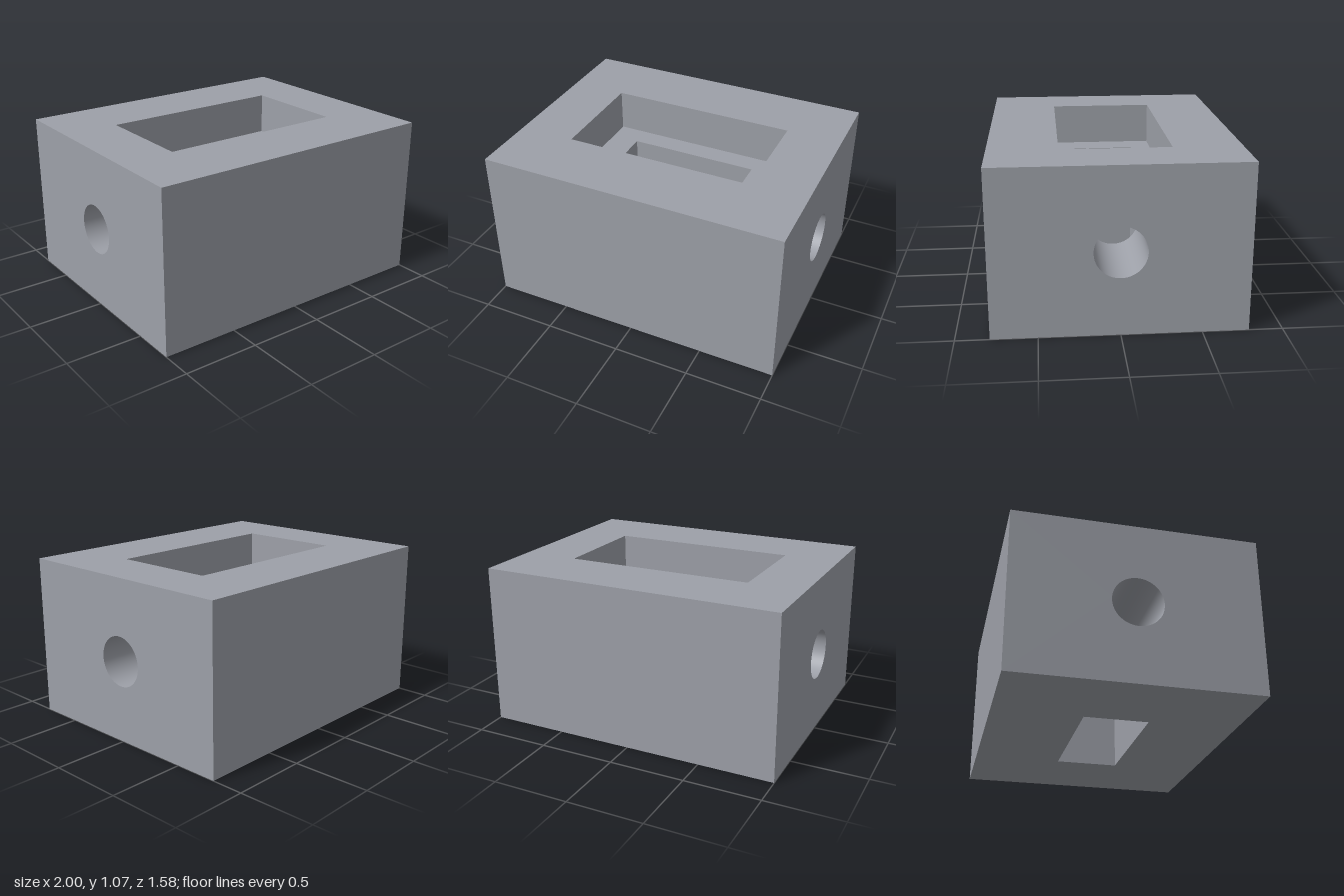
import * as THREE from 'three';

const W = 2, D = 1.58, H = 1.07;           // block
const PW = 1.255, PD = 0.70, LEDGE = 0.79; // upper pocket and its floor height
const SW = 0.88, SD = 0.42;                // through slot
const R = 0.163, BORE_Y = 0.535;           // cross bore
const STEEL = 0x9da0a8;

function rect(path, w, h) {
  path.moveTo(-w / 2, -h / 2).lineTo(w / 2, -h / 2).lineTo(w / 2, h / 2).lineTo(-w / 2, h / 2).closePath();
  return path;
}

export function createModel() {
  const group = new THREE.Group();
  const steel = new THREE.MeshStandardMaterial({ color: STEEL });
  const steelBoth = new THREE.MeshStandardMaterial({ color: STEEL, side: THREE.DoubleSide });

  const add = (name, geometry, material = steel) => {
    const mesh = new THREE.Mesh(geometry, material);
    mesh.name = name;
    group.add(mesh);
  };

  // Flat face towards +z with an optional hole
  const face = (w, h, hole) => {
    const shape = rect(new THREE.Shape(), w, h);
    if (hole) shape.holes.push(hole);
    return new THREE.ShapeGeometry(shape, 32);
  };

  // Four upright walls; side = 1 faces outward, -1 faces inward
  const walls = (name, w, d, y0, y1, side, bored) => {
    for (let i = 0; i < 4; i++) {
      const isEnd = i % 2 === 1;
      const mid = (y0 + y1) / 2;
      const hole = bored && isEnd
        ? new THREE.Path().absarc(0, BORE_Y - mid, R, 0, Math.PI * 2, true) : null;
      const g = face(isEnd ? d : w, y1 - y0, hole);
      g.translate(0, mid, side * (isEnd ? w : d) / 2).rotateY(i * Math.PI / 2);
      add(name, g);
    }
  };

  // Level faces, each with a rectangular opening
  const openTop = rect(new THREE.Path(), PW, PD);
  const openSlot = rect(new THREE.Path(), SW, SD);
  add('topFace', face(W, D, openTop).rotateX(-Math.PI / 2).translate(0, H, 0));
  add('pocketLedge', face(PW, PD, openSlot).rotateX(-Math.PI / 2).translate(0, LEDGE, 0));
  add('bottomFace', face(W, D, openSlot).rotateX(Math.PI / 2));

  // Upright faces
  walls('outerWall', W, D, 0, H, 1, true);
  walls('pocketWall', PW, PD, LEDGE, H, -1, false);
  walls('slotWall', SW, SD, 0, LEDGE, -1, true);

  // Bore through both end walls into the slot
  const length = (W - SW) / 2;
  for (const s of [-1, 1]) {
    const bore = new THREE.CylinderGeometry(R, R, length, 64, 1, true);
    bore.rotateZ(Math.PI / 2).translate(s * (SW + length) / 2, BORE_Y, 0);
    add(s > 0 ? 'leftBore' : 'rightBore', bore, steelBoth);
  }
  return group;
}
